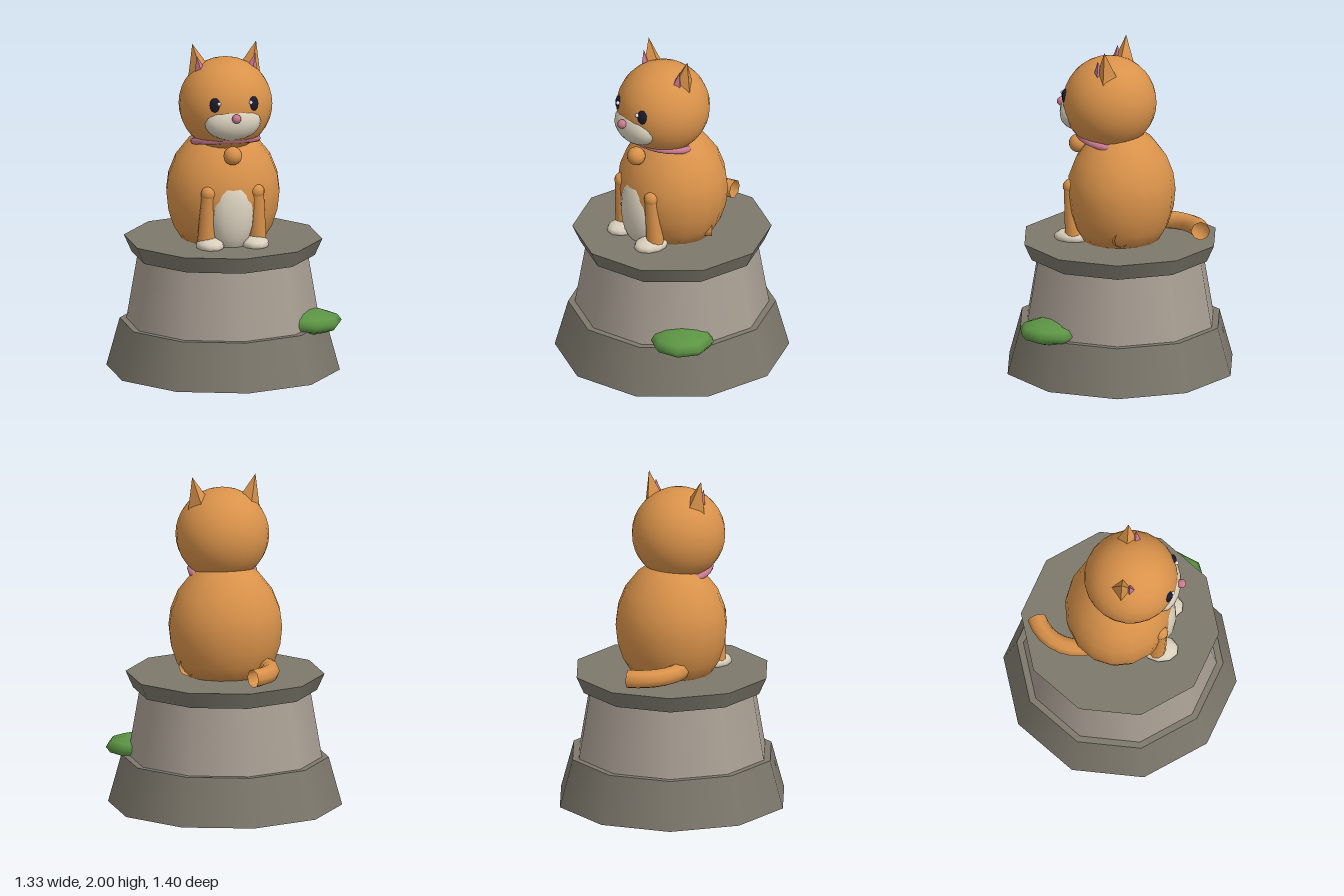
import * as THREE from 'three';

const mat = (name, color, side = THREE.FrontSide) => {
  const m = new THREE.MeshStandardMaterial({ color, side });
  m.name = name;
  return m;
};

export function createModel() {
  const model = new THREE.Group();
  model.name = 'catOnPedestal';

  const orange = mat('orange fur', 0xd9924a);
  const orangeOpen = orange;
  orangeOpen.side = THREE.DoubleSide;
  const cream = mat('cream fur', 0xd9cfbc);
  const pink = mat('pink', 0xcb7a90);
  const dark = mat('dark eye', 0x1c1a2c);
  const white = mat('eye shine', 0xf4f4f4);
  const darkStone = mat('dark stone', 0x7d786c);
  const lightStone = mat('light stone', 0xa89e93);
  const green = mat('leaf green', 0x5c9444);

  const add = (name, geometry, material, x, y, z) => {
    const mesh = new THREE.Mesh(geometry, material);
    mesh.name = name;
    mesh.position.set(x, y, z);
    model.add(mesh);
    return mesh;
  };
  const ellipsoid = (name, material, [x, y, z], [rx, ry, rz], w = 16, h = 12) =>
    add(name, new THREE.SphereGeometry(1, w, h).scale(rx, ry, rz), material, x, y, z);

  // Ten-sided pedestal
  const tier = (name, material, rTop, rBottom, y0, y1) =>
    add(name, new THREE.CylinderGeometry(rTop, rBottom, y1 - y0, 10), material, 0, (y0 + y1) / 2, 0);
  tier('pedestalBase', darkStone, 0.62, 0.7, 0, 0.29);
  tier('pedestalColumn', lightStone, 0.51, 0.58, 0.29, 0.7);
  tier('pedestalCap', darkStone, 0.595, 0.55, 0.7, 0.8);

  // Leaf clump set into the column
  ellipsoid('leaf', green, [0.47, 0.32, 0.27], [0.195, 0.07, 0.195], 8, 6);

  // Egg-shaped body
  const profile = [
    [0.001, 0.79], [0.25, 0.8], [0.3, 0.88], [0.333, 0.98], [0.345, 1.09], [0.332, 1.19],
    [0.288, 1.3], [0.205, 1.405], [0.11, 1.475], [0.001, 1.5],
  ].map(([r, y]) => new THREE.Vector2(r, y));
  add('body', new THREE.LatheGeometry(profile, 16).scale(1, 1, 0.935), orange, 0, 0, -0.007);
  ellipsoid('chestPatch', cream, [0, 0.99, 0.25], [0.135, 0.22, 0.088], 12, 10);

  // Head and face
  ellipsoid('head', orange, [0, 1.635, 0.065], [0.28, 0.28, 0.28], 24, 18);
  ellipsoid('muzzle', cream, [0, 1.567, 0.268], [0.172, 0.112, 0.098]);
  ellipsoid('nose', pink, [0, 1.607, 0.37], [0.028, 0.028, 0.028], 10, 8);

  // Collar, raised at the front, with a bell
  const collar = add('collar', new THREE.TorusGeometry(0.19, 0.021, 8, 24), pink, 0, 1.412, 0.065);
  collar.rotation.x = Math.PI / 2 - 0.2;
  ellipsoid('bell', orange, [0, 1.357, 0.265], [0.056, 0.056, 0.056], 14, 10);

  for (const s of [-1, 1]) {
    const side = s > 0 ? 'left' : 'right';

    // Four-sided ears leaning outward
    const cone = (name, material, r, h, [x, y, z], tilt) => {
      const geometry = new THREE.ConeGeometry(r, h, 4).translate(0, -h / 2, 0).toNonIndexed();
      geometry.computeVertexNormals();
      add(name, geometry, material, s * x, y, z).rotation.z = -s * tilt;
    };
    cone(side + 'Ear', orange, 0.09, 0.23, [0.195, 2, 0.03], 0.25);
    cone(side + 'InnerEar', pink, 0.055, 0.16, [0.18, 1.937, 0.078], 0.24);

    // Eyes
    const eye = ellipsoid(side + 'Eye', dark, [s * 0.118, 1.68, 0.305], [0.033, 0.046, 0.022], 10, 8);
    eye.rotation.y = s * 0.4;
    ellipsoid(side + 'EyeShine', white, [s * 0.097, 1.694, 0.33], [0.012, 0.012, 0.012], 8, 6);

    // Front legs and paws
    const top = new THREE.Vector3(s * 0.15, 1.13, 0.262);
    const foot = new THREE.Vector3(s * 0.158, 0.82, 0.238);
    const axis = top.clone().sub(foot);
    const mid = top.clone().add(foot).multiplyScalar(0.5);
    const leg = add(side + 'FrontLeg', new THREE.CylinderGeometry(0.04, 0.053, axis.length(), 10),
      orange, mid.x, mid.y, mid.z);
    leg.quaternion.setFromUnitVectors(new THREE.Vector3(0, 1, 0), axis.normalize());
    ellipsoid(side + 'Shoulder', orange, top.toArray(), [0.045, 0.045, 0.045], 10, 8);
    ellipsoid(side + 'Paw', cream, [s * 0.137, 0.815, 0.255], [0.086, 0.046, 0.112], 10, 8);
  }

  // Curled tail sweeping out behind the body
  const tail = new THREE.TorusGeometry(0.257, 0.056, 8, 16, 3.7).rotateZ(0.63).rotateX(Math.PI / 2);
  add('tail', tail, orangeOpen, 0.052, 0.87, -0.257);

  return model;
}
